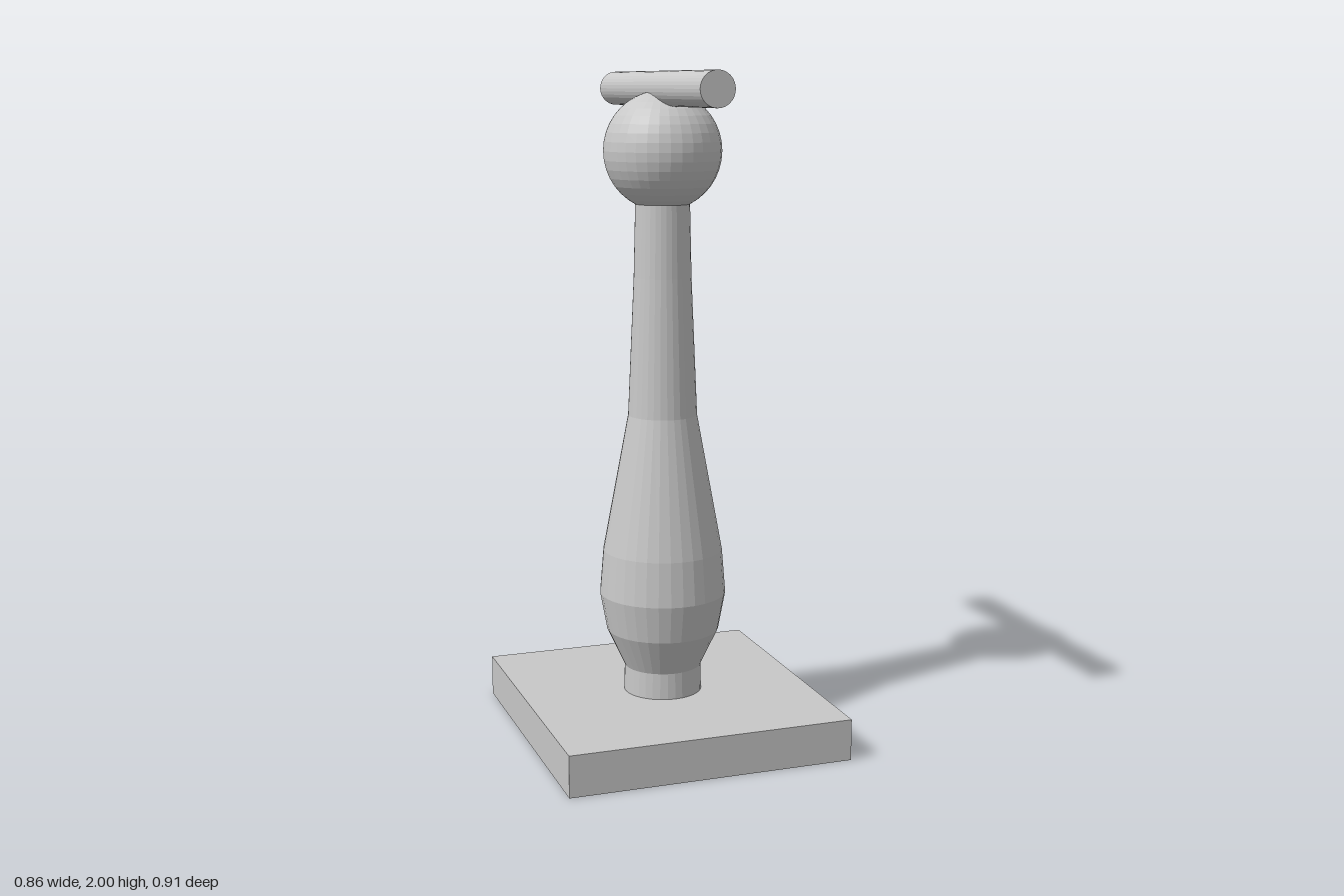
import * as THREE from 'three';

export function createModel() {
  const model = new THREE.Group();
  const grey = new THREE.MeshStandardMaterial({ color: 0xc8c8c8, flatShading: true });
  grey.name = 'plain grey';

  const add = (name, geometry, y) => {
    const mesh = new THREE.Mesh(geometry, grey);
    mesh.name = name;
    mesh.position.y = y;
    model.add(mesh);
    return mesh;
  };

  // Rectangular foot plate
  add('base', new THREE.BoxGeometry(0.864, 0.125, 0.906), 0.0625);

  // Turned column: narrow foot, swelling belly, long tapering neck
  const profile = [
    [0, 0.12], [0.119, 0.12], [0.117, 0.205], [0.171, 0.32], [0.192, 0.435],
    [0.181, 0.57], [0.104, 0.985], [0.086, 1.4], [0.081, 1.62], [0, 1.64],
  ].map(([r, y]) => new THREE.Vector2(r, y));
  add('column', new THREE.LatheGeometry(profile, 32), 0);

  // Ball on top of the neck
  add('ball', new THREE.SphereGeometry(0.175, 32, 20), 1.77);

  // Round crossbar running front to back, sunk into the ball
  const bar = add('crossbar', new THREE.CylinderGeometry(0.051, 0.051, 0.906, 32), 1.949);
  bar.rotation.x = Math.PI / 2;

  return model;
}
